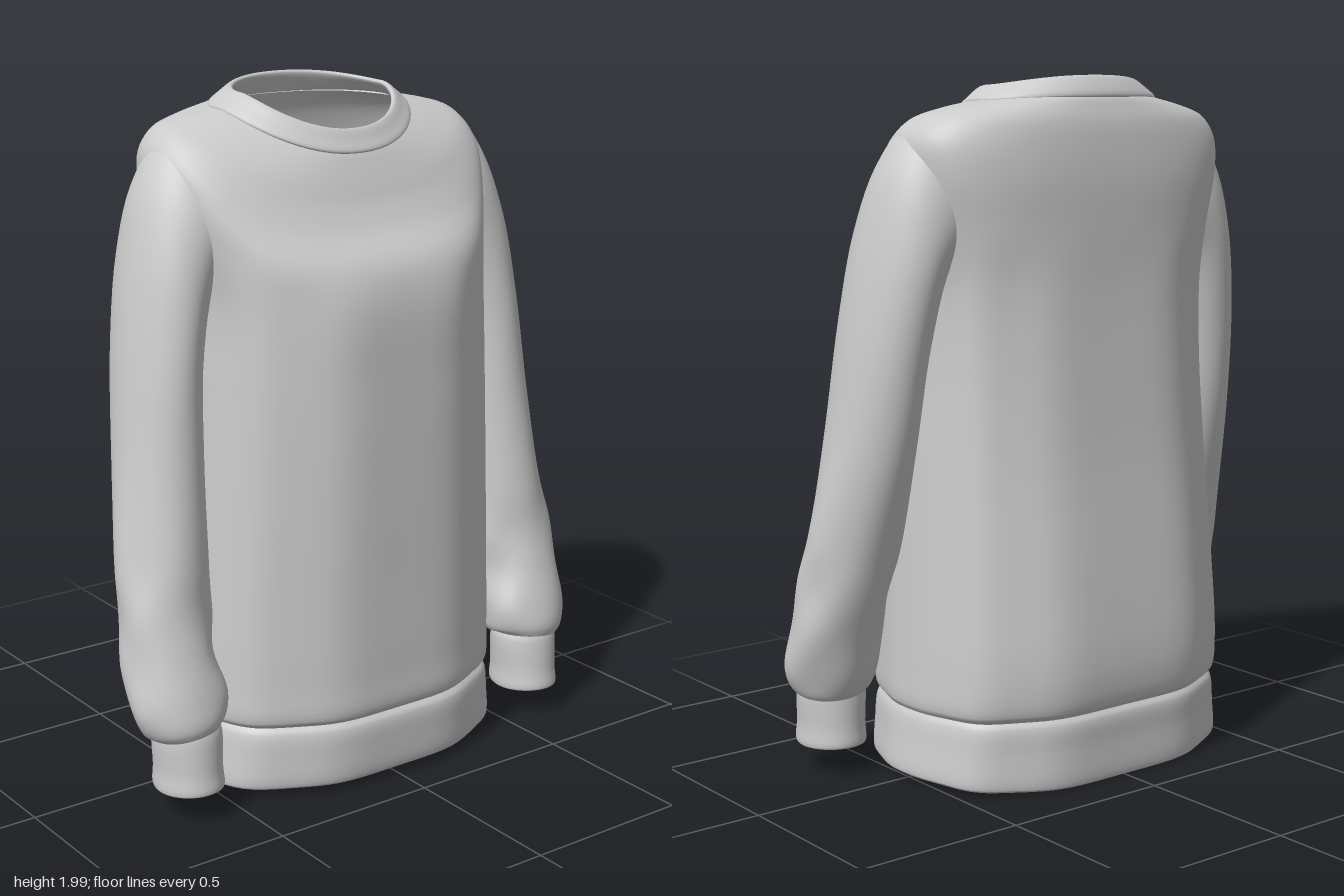
import * as THREE from 'three';

const SEG = 96;
const fabric = new THREE.MeshStandardMaterial({ color: 0xcccccc, side: THREE.DoubleSide });
const spow = (v, n) => Math.sign(v) * Math.pow(Math.abs(v), 2 / n);

// Smooth skin through closed loops of points, listed bottom to top
function loft(name, rings, steps = 5) {
  const rows = (rings.length - 1) * steps + 1;
  const pos = new Float32Array(rows * SEG * 3), index = [];
  for (let j = 0; j < SEG; j++) {
    const curve = new THREE.CatmullRomCurve3(rings.map(r => r[j]), false, 'centripetal');
    for (let i = 0; i < rows; i++) curve.getPoint(i / (rows - 1)).toArray(pos, (i * SEG + j) * 3);
  }
  for (let i = 0; i < rows - 1; i++) {
    for (let j = 0; j < SEG; j++) {
      const a = i * SEG + j, b = i * SEG + (j + 1) % SEG;
      index.push(a, a + SEG, b, b, a + SEG, b + SEG);
    }
  }
  const geo = new THREE.BufferGeometry();
  geo.setAttribute('position', new THREE.BufferAttribute(pos, 3));
  geo.setIndex(index);
  geo.computeVertexNormals();
  const mesh = new THREE.Mesh(geo, fabric);
  mesh.name = name;
  return mesh;
}

const loop = fn => Array.from({ length: SEG }, (_, j) => fn(j / SEG * Math.PI * 2));
const mirror = rings => rings.map(r => r.map(p => new THREE.Vector3(-p.x, p.y, p.z)).reverse());

// Body loop: half width, front z, back z, side z, then heights at front, side and back
function bodyRing([a, zF, zB, zS, yF, yS = yF, yB = yF], nF, nB, fold = 0) {
  return loop(t => {
    const c = Math.cos(t), s = Math.sin(t);
    const front = s > 0, n = front ? nF : nB;
    const k = 1 + fold * Math.cos(10 * t);
    return new THREE.Vector3(
      a * spow(c, n) * k,
      yS + ((front ? yF : yB) - yS) * Math.pow(Math.abs(s), 1.5),
      zS + ((front ? zF : zB) - zS) * Math.abs(spow(s, n)) * k);
  });
}

// Sleeve loops stand square to the arm path: x, y, z, radius across, radius in depth
function sleeveRings(path) {
  const pts = path.map(p => new THREE.Vector3(p[0], p[1], p[2]));
  const zAxis = new THREE.Vector3(0, 0, 1);
  return path.map(([, y, , rx, rz], i) => {
    const tan = pts[Math.min(i + 1, pts.length - 1)].clone().sub(pts[Math.max(i - 1, 0)]).normalize();
    const e1 = tan.clone().cross(zAxis).normalize();
    const e2 = e1.clone().cross(tan);
    const crease = y < 0.75 && y > 0.3 ? 0.03 : 0.005;
    return loop(t => {
      const k = 1 + crease * Math.sin(3 * t + y * 21) + crease * 0.5 * Math.sin(5 * t - y * 34);
      return pts[i].clone().addScaledVector(e1, Math.cos(t) * rx * k).addScaledVector(e2, Math.sin(t) * rz * k);
    });
  });
}

export function createModel() {
  const group = new THREE.Group();
  group.name = 'sweatshirt';

  // Body, from the hem seam over the shoulders, ending under the neck band
  const body = [
    [0.500, 0.374, -0.372, 0, 0.212],
    [0.512, 0.392, -0.388, 0, 0.232],
    [0.512, 0.395, -0.402, 0, 0.34],
    [0.502, 0.395, -0.382, 0, 0.60],
    [0.488, 0.395, -0.346, 0, 0.92],
    [0.476, 0.392, -0.326, 0, 1.20],
    [0.476, 0.384, -0.315, -0.02, 1.42],
    [0.500, 0.350, -0.312, -0.04, 1.525, 1.58, 1.58],
    [0.535, 0.275, -0.310, -0.04, 1.61, 1.73, 1.71],
    [0.535, 0.234, -0.302, -0.05, 1.675, 1.825, 1.80],
    [0.490, 0.210, -0.291, -0.06, 1.73, 1.883, 1.87],
    [0.410, 0.190, -0.277, -0.07, 1.775, 1.910, 1.91],
    [0.315, 0.172, -0.263, -0.07, 1.81, 1.928, 1.938],
    [0.275, 0.155, -0.250, -0.07, 1.83, 1.935, 1.945],
  ];
  const roundness = [2.5, 2.5, 2.4, 2.3, 2.2, 2.1, 2.1];
  group.add(loft('body', body.map((r, i) => {
    const n = i < 7 ? 2.4 : roundness[i - 7];
    return bodyRing(r, n, n + 0.35, i < 7 ? 0.01 : 0);
  })));

  // Ribbed hem band, with its inner wall
  const hem = [
    [0.490, 0.365, -0.365, 0, 0.215],
    [0.515, 0.370, -0.367, 0, 0.034, 0.036, 0.014],
    [0.521, 0.375, -0.372, 0, 0.026, 0.028, 0.006],
    [0.528, 0.384, -0.380, 0, 0.034, 0.036, 0.014],
    [0.520, 0.392, -0.384, 0, 0.12],
    [0.510, 0.390, -0.385, 0, 0.195],
    [0.500, 0.374, -0.372, 0, 0.216],
  ];
  group.add(loft('hemBand', hem.map(r => bodyRing(r, 2.4, 2.7, 0.01))));

  // Neck band: outer edge, top edge, then back down inside
  const collar = [
    [0.306, 0.165, -0.258, -0.07, 1.806, 1.920, 1.932],
    [0.310, 0.180, -0.267, -0.07, 1.812, 1.932, 1.943],
    [0.280, 0.166, -0.254, -0.06, 1.842, 1.954, 1.975],
    [0.246, 0.147, -0.234, -0.05, 1.875, 1.972, 1.999],
    [0.238, 0.138, -0.226, -0.05, 1.868, 1.965, 1.993],
    [0.258, 0.142, -0.236, -0.06, 1.840, 1.943, 1.960],
    [0.275, 0.150, -0.248, -0.07, 1.822, 1.930, 1.935],
  ];
  group.add(loft('collar', collar.map(r => bodyRing(r, 2.1, 2.2))));

  // Sleeve, wrist to shoulder, its top sunk into the body
  const sleeve = sleeveRings([
    [0.624, 0.250, 0.210, 0.090, 0.095],
    [0.627, 0.268, 0.209, 0.118, 0.110],
    [0.633, 0.33, 0.190, 0.138, 0.120],
    [0.640, 0.45, 0.150, 0.135, 0.118],
    [0.632, 0.57, 0.118, 0.133, 0.122],
    [0.620, 0.70, 0.090, 0.130, 0.132],
    [0.592, 1.00, 0.035, 0.118, 0.152],
    [0.565, 1.30, 0.000, 0.112, 0.166],
    [0.515, 1.53, -0.022, 0.126, 0.172],
    [0.440, 1.655, -0.034, 0.172, 0.166],
    [0.392, 1.70, -0.042, 0.195, 0.145],
    [0.320, 1.73, -0.050, 0.150, 0.110],
  ]);

  // Cuff: open tube with an inner wall; x radius, front z, back z, side z, heights
  const cuff = [
    [0.080, 0.300, 0.120, 0.21, 0.265],
    [0.087, 0.320, 0.110, 0.215, 0.095, 0.088, 0.092],
    [0.095, 0.328, 0.102, 0.215, 0.097, 0.090, 0.094],
    [0.094, 0.322, 0.104, 0.213, 0.15],
    [0.098, 0.312, 0.108, 0.21, 0.25],
    [0.090, 0.304, 0.114, 0.21, 0.275],
  ].map(r => bodyRing(r, 2, 2).map(p => p.setX(p.x + 0.624)));

  group.add(loft('leftSleeve', sleeve), loft('rightSleeve', mirror(sleeve)));
  group.add(loft('leftCuff', cuff), loft('rightCuff', mirror(cuff)));
  return group;
}
